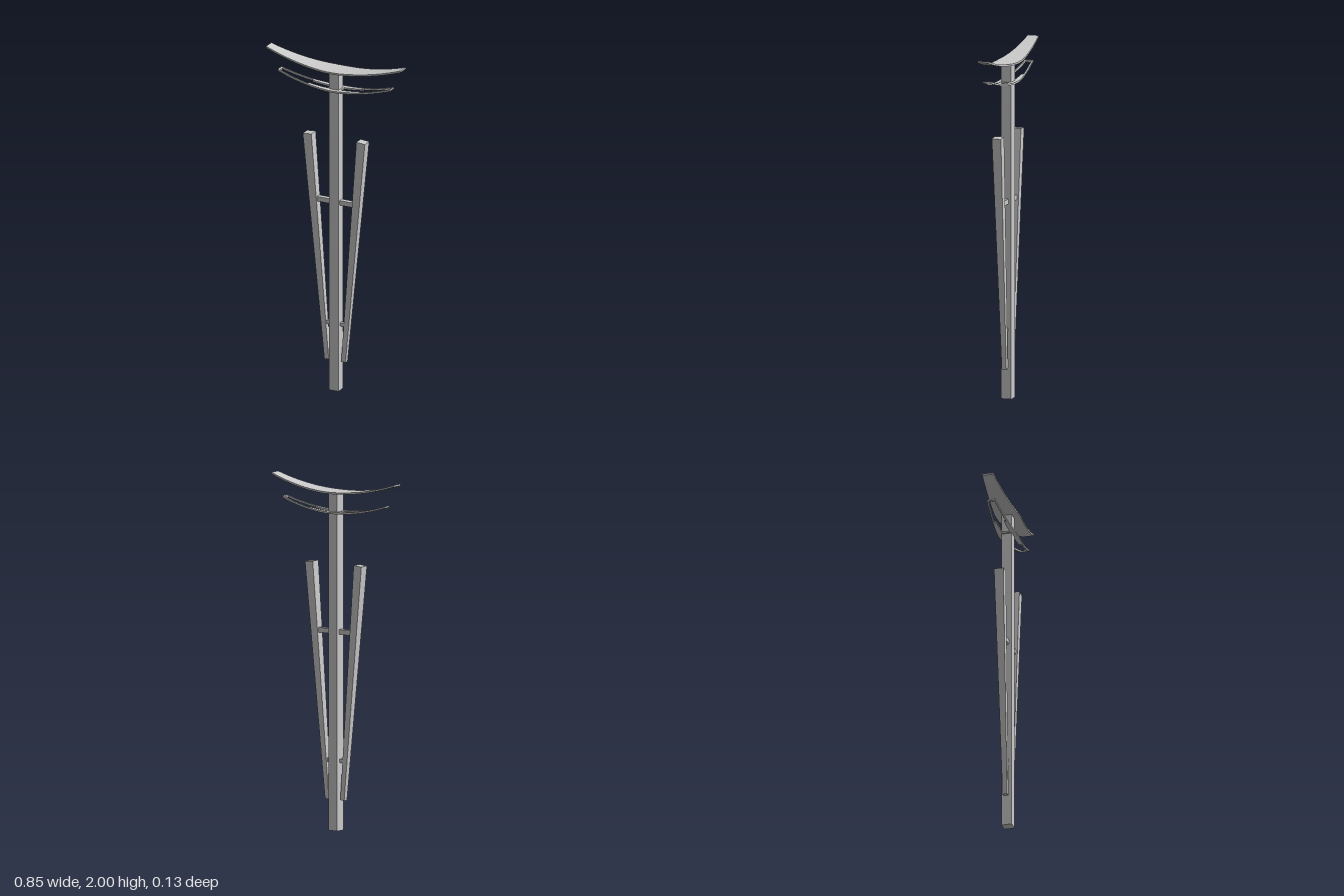
import * as THREE from 'three';

const material = new THREE.MeshStandardMaterial({ color: 0xcccccc, side: THREE.DoubleSide });

export function createModel() {
  const model = new THREE.Group();

  function add(parent, name, geometry, x = 0, y = 0, z = 0) {
    const mesh = new THREE.Mesh(geometry, material);
    mesh.name = name;
    mesh.position.set(x, y, z);
    parent.add(mesh);
    return mesh;
  }

  // Upswept slab between x0 and x1; zNear(x) and zFar(x) give its two side edges
  function sweptSlab(x0, x1, zNear, zFar, baseY, rise, halfSpan, segments) {
    const g = new THREE.BoxGeometry(1, 1, 1, segments, 1, 1);
    const p = g.attributes.position;
    for (let i = 0; i < p.count; i++) {
      const x = THREE.MathUtils.lerp(x0, x1, p.getX(i) + 0.5);
      const y = baseY + rise * (x / halfSpan) ** 2 + (p.getY(i) > 0 ? 0.01 : 0);
      p.setXYZ(i, x, y, p.getZ(i) > 0 ? zFar(x) : zNear(x));
    }
    g.computeVertexNormals();
    return g;
  }

  // Central square post
  add(model, 'post', new THREE.BoxGeometry(0.06, 1.92, 0.06), 0, 0.96, 0);

  // Splayed, tapered side struts
  for (const side of [1, -1]) {
    const bottom = new THREE.Vector3(0.053 * side, 0.175, 0);
    const top = new THREE.Vector3(0.169 * side, 1.517, 0);
    const axis = top.clone().sub(bottom);
    const g = new THREE.CylinderGeometry(0.027 * Math.SQRT2, 0.0135 * Math.SQRT2, axis.length(), 4)
      .rotateY(Math.PI / 4).toNonIndexed();
    g.computeVertexNormals();
    const strut = add(model, side > 0 ? 'leftStrut' : 'rightStrut', g);
    strut.position.copy(bottom).add(top).multiplyScalar(0.5);
    strut.quaternion.setFromUnitVectors(new THREE.Vector3(0, 1, 0), axis.normalize());
  }

  // Crossbars joining the struts to the post
  add(model, 'upperCrossbar', new THREE.BoxGeometry(0.236, 0.028, 0.028), 0, 1.13, 0);
  add(model, 'lowerCrossbar', new THREE.BoxGeometry(0.126, 0.02, 0.02), 0, 0.397, 0);

  // Solid curved top beam, widest over the post
  const beamEdge = x => 0.067 - 0.035 * Math.max(0, Math.abs(x) - 0.04) / 0.385;
  add(model, 'topBeam',
    sweptSlab(-0.425, 0.425, x => -beamEdge(x), beamEdge, 1.918, 0.072, 0.425, 42));

  // Lower beam: a curved frame with a stepped opening on each side of the post
  const frame = new THREE.Group();
  frame.name = 'lowerBeam';
  model.add(frame);
  const outer = x => 0.055 - 0.03 * Math.max(0, Math.abs(x) - 0.03) / 0.325;
  const inner = x => outer(x) - 0.009;
  const narrow = () => 0.022;
  const piece = (name, x0, x1, a, b, n) =>
    add(frame, name, sweptSlab(x0, x1, a, b, 1.803, 0.059, 0.355, n));
  const span = (name, s, x0, x1, a, b, n) =>
    piece(name, Math.min(s * x0, s * x1), Math.max(s * x0, s * x1), a, b, n);

  piece('frameCentre', -0.04, 0.04, x => -outer(x), outer, 4);
  for (const s of [1, -1]) {
    span('frameEnd', s, 0.345, 0.355, x => -outer(x), outer, 1);
    for (const [name, x0, x1, edge, n] of [
      ['wideRail', 0.04, 0.16, narrow, 6],
      ['thinRail', 0.16, 0.345, inner, 9],
    ]) {
      span(name, s, x0, x1, edge, outer, n);
      span(name, s, x0, x1, x => -outer(x), x => -edge(x), n);
    }
  }

  return model;
}
